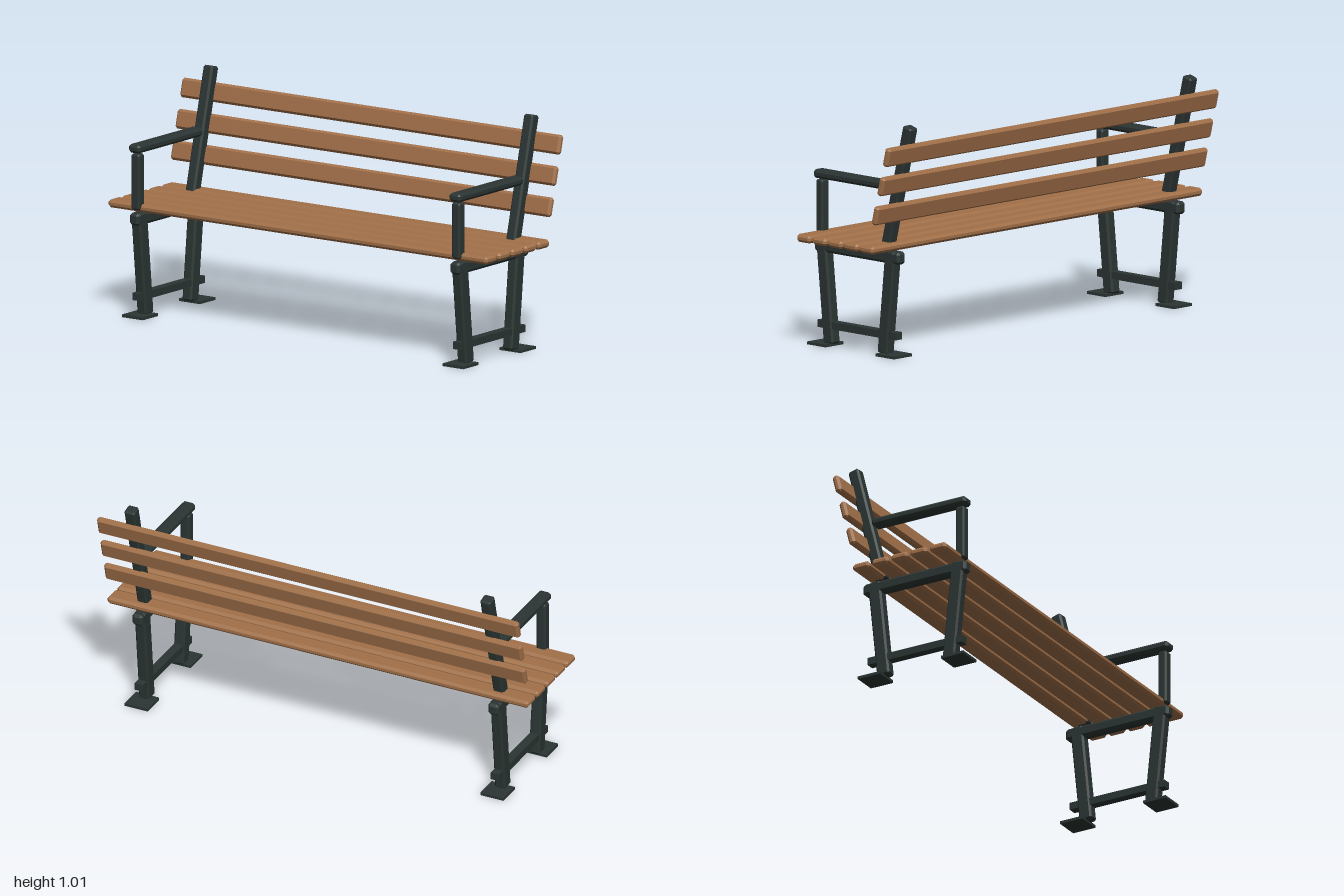
import * as THREE from 'three';
import { ConvexGeometry } from 'three/addons/geometries/ConvexGeometry.js';

const wood = new THREE.MeshStandardMaterial({ color: 0xa17049 });
wood.name = 'brown wood';
const iron = new THREE.MeshStandardMaterial({ color: 0x2b3533 });
iron.name = 'dark painted iron';

// Box with all edges cut at 45 degrees by c
function chamferBox(w, h, d, c) {
  const half = [w / 2, h / 2, d / 2];
  const points = [];
  for (const sx of [-1, 1]) for (const sy of [-1, 1]) for (const sz of [-1, 1]) {
    for (let face = 0; face < 3; face++) {
      const p = half.map((v, i) => (i === face ? v : v - c));
      points.push(new THREE.Vector3(p[0] * sx, p[1] * sy, p[2] * sz));
    }
  }
  return new ConvexGeometry(points);
}

function add(parent, name, geometry, material, x, y, z, tilt = 0) {
  const mesh = new THREE.Mesh(geometry, material);
  mesh.name = name;
  mesh.position.set(x, y, z);
  mesh.rotation.x = tilt;
  parent.add(mesh);
  return mesh;
}

// Upright bar between two (y, z) points in the side plane
function bar(parent, name, y0, z0, y1, z1, width, depth, c) {
  const length = Math.hypot(y1 - y0, z1 - z0);
  add(parent, name, chamferBox(width, length, depth, c), iron,
    0, (y0 + y1) / 2, (z0 + z1) / 2, Math.atan2(z1 - z0, y1 - y0));
}

function createFrame(name, x) {
  const frame = new THREE.Group();
  frame.name = name;
  frame.position.x = x;

  // Splayed legs on flat feet
  bar(frame, 'frontLeg', 0.008, 0.202, 0.456, 0.248, 0.05, 0.061, 0.008);
  bar(frame, 'backLeg', 0.008, -0.119, 0.456, -0.165, 0.05, 0.061, 0.008);
  const foot = new THREE.BoxGeometry(0.11, 0.012, 0.11);
  add(frame, 'frontFoot', foot, iron, 0, 0.006, 0.241);
  add(frame, 'backFoot', foot, iron, 0, 0.006, -0.169);

  // Horizontal members
  add(frame, 'stretcher', new THREE.BoxGeometry(0.04, 0.032, 0.466), iron, 0, 0.09, 0.036);
  add(frame, 'seatRail', chamferBox(0.05, 0.054, 0.508, 0.011), iron, 0, 0.428, 0.035);

  // Arm and back supports
  bar(frame, 'armPost', 0.468, 0.258, 0.711, 0.258, 0.044, 0.042, 0.007);
  add(frame, 'armRest', chamferBox(0.06, 0.037, 0.465, 0.011), iron, 0, 0.735, 0.057);
  bar(frame, 'backPost', 0.457, -0.132, 1.003, -0.268, 0.05, 0.051, 0.008);
  return frame;
}

export function createModel() {
  const bench = new THREE.Group();
  bench.name = 'bench';

  bench.add(createFrame('leftFrame', 0.845), createFrame('rightFrame', -0.845));

  // Seat slats
  const seatSlat = chamferBox(2, 0.034, 0.082, 0.011);
  for (let i = 0; i < 5; i++) {
    add(bench, 'seatSlat' + (i + 1), seatSlat, wood, 0, 0.476, 0.225 - i * 0.0945);
  }

  // Back slats on the rear of the leaning posts
  const backSlat = chamferBox(2, 0.084, 0.031, 0.01);
  for (let i = 0; i < 3; i++) {
    add(bench, 'backSlat' + (i + 1), backSlat, wood, 0, 0.629 + i * 0.13, -0.204 - i * 0.0335, -0.244);
  }
  return bench;
}
